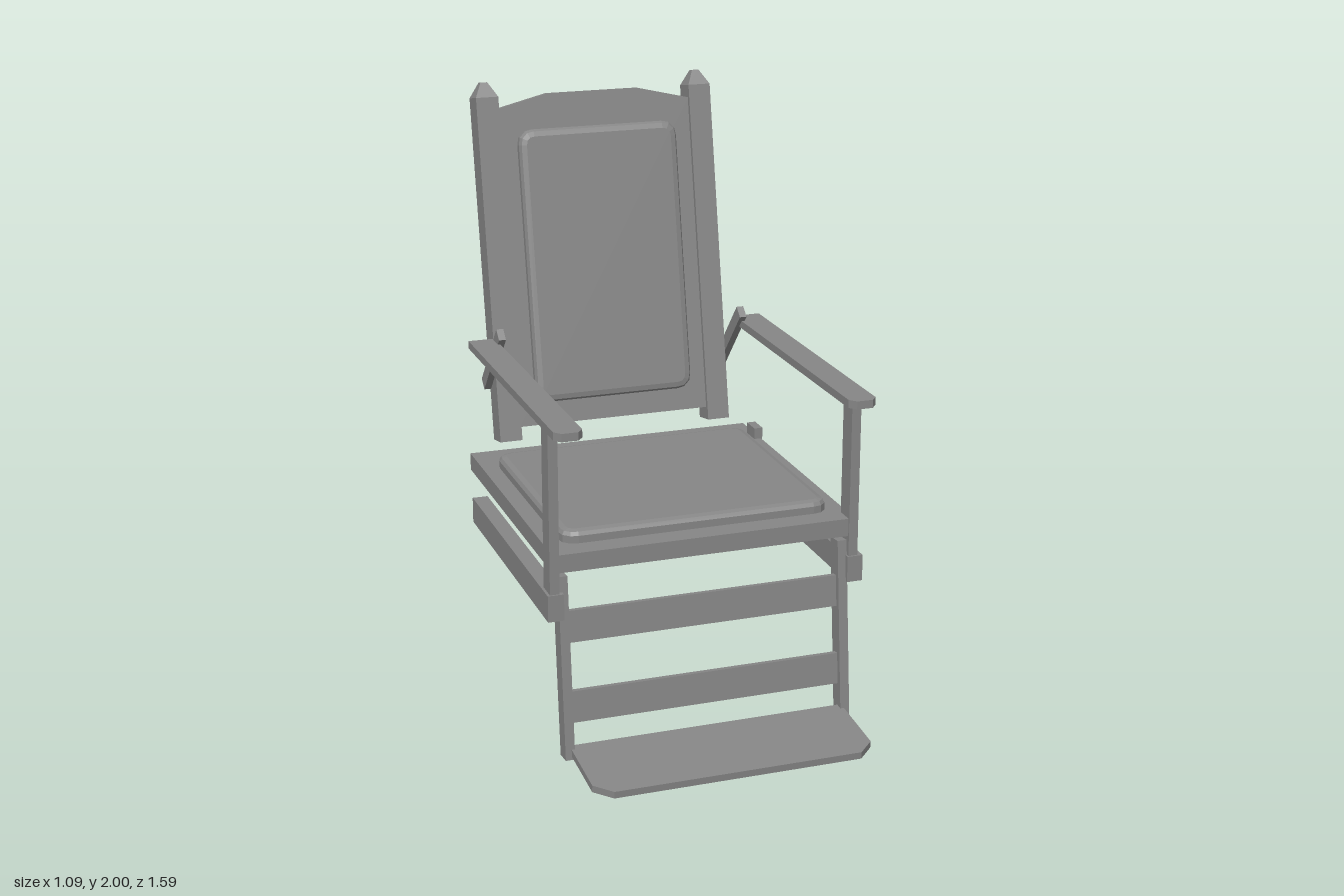
import * as THREE from 'three';

const material = new THREE.MeshStandardMaterial({ color: 0x868686, flatShading: true });

function add(parent, name, geometry) {
  const mesh = new THREE.Mesh(geometry, material);
  mesh.name = name;
  parent.add(mesh);
  return mesh;
}

// Box given by its ranges along x, y and z
function box(parent, name, [x0, x1], [y0, y1], [z0, z1]) {
  const mesh = add(parent, name, new THREE.BoxGeometry(x1 - x0, y1 - y0, z1 - z0));
  mesh.position.set((x0 + x1) / 2, (y0 + y1) / 2, (z0 + z1) / 2);
}

// Polygon board extruded along z
function plate(points, depth) {
  const shape = new THREE.Shape(points.map(([x, y]) => new THREE.Vector2(x, y)));
  return new THREE.ExtrudeGeometry(shape, { depth, bevelEnabled: false });
}

// Rounded pad with a softened face, lying in the xy plane and rising along z
function pad(w, h, height, r) {
  const bevelSize = 0.025, bevelThickness = 0.017;
  const a = w / 2 - bevelSize, b = h / 2 - bevelSize;
  const shape = new THREE.Shape();
  shape.moveTo(-a + r, -b);
  shape.lineTo(a - r, -b).quadraticCurveTo(a, -b, a, -b + r);
  shape.lineTo(a, b - r).quadraticCurveTo(a, b, a - r, b);
  shape.lineTo(-a + r, b).quadraticCurveTo(-a, b, -a, b - r);
  shape.lineTo(-a, -b + r).quadraticCurveTo(-a, -b, -a + r, -b);
  return new THREE.ExtrudeGeometry(shape, {
    depth: height - bevelThickness, bevelThickness, bevelSize, bevelSegments: 2, curveSegments: 3,
  });
}

// Square post with a blunt pyramid tip, standing on y = 0
function pointedPost(parent, x, w, d, height, tip) {
  box(parent, 'backPost', [x - w / 2, x + w / 2], [0, height], [-d / 2, d / 2]);
  const cap = new THREE.CylinderGeometry(0.3 * Math.SQRT1_2, Math.SQRT1_2, tip, 4);
  cap.rotateY(Math.PI / 4).scale(w, 1, d);
  add(parent, 'backPostTip', cap).position.set(x, height + tip / 2, 0);
}

export function createModel() {
  const chair = new THREE.Group();
  chair.name = 'chair';

  // Seat
  box(chair, 'seatBoard', [-0.521, 0.517], [0.649, 0.71], [-0.565, 0.47]);
  const seatPad = add(chair, 'seatCushion', pad(0.92, 0.82, 0.042, 0.03).rotateX(-Math.PI / 2));
  seatPad.position.set(-0.003, 0.71, -0.02);

  // Reclined back: posts, panel and cushion
  const back = new THREE.Group();
  back.name = 'back';
  back.position.set(-0.003, 0.762, -0.519);
  back.rotation.x = -0.19;
  chair.add(back);
  for (const side of [-1, 1]) pointedPost(back, side * 0.39, 0.08, 0.092, 1.207, 0.052);
  add(back, 'backPanel', plate([
    [-0.352, 0.045], [0.352, 0.045], [0.352, 1.163], [0.158, 1.209], [-0.158, 1.209], [-0.352, 1.163],
  ], 0.066)).position.z = -0.036;
  add(back, 'backCushion', pad(0.58, 0.96, 0.037, 0.03)).position.set(0, 0.607, 0.03);

  // Arms, their front posts and the slanted braces
  for (const side of [-1, 1]) {
    const arm = add(chair, 'armrest', plate([
      [-0.047, -0.465], [0.047, -0.465], [0.047, 0.565], [0.027, 0.59], [-0.027, 0.59], [-0.047, 0.565],
    ], 0.027).rotateX(Math.PI / 2));
    arm.position.set(-0.004 + side * 0.491, 1.157, 0);

    const px = -0.004 + side * 0.514;
    box(chair, 'armPost', [px - 0.016, px + 0.016], [0.56, 1.13], [0.405, 0.476]);

    const brace = add(chair, 'armBrace', new THREE.BoxGeometry(0.025, 0.325, 0.045));
    brace.position.set(-0.003 + side * 0.442, 1.071, -0.498);
    brace.rotation.x = Math.atan2(0.217, 0.242);

    // Lower side rail
    const rx = side * 0.516;
    box(chair, 'lowerRail', [rx - 0.027, rx + 0.027], [0.49, 0.58], [-0.462, 0.482]);
  }
  box(chair, 'rearSpacer', [0.491, 0.522], [0.57, 0.75], [-0.455, -0.382]);

  // Leg rest: slanted legs and cross slats
  const legRest = new THREE.Group();
  legRest.name = 'legRest';
  legRest.position.set(-0.004, 0.011, 0.49);
  legRest.rotation.x = -0.1;
  chair.add(legRest);
  for (const side of [-1, 1]) {
    box(legRest, 'leg', [side * 0.482 - 0.016, side * 0.482 + 0.016], [0, 0.62], [-0.03, 0.03]);
  }
  for (const y of [0.118, 0.39]) box(legRest, 'legSlat', [-0.47, 0.47], [y, y + 0.107], [-0.01, 0.01]);

  // Footboard with clipped front corners
  const foot = add(chair, 'footboard', plate([
    [-0.478, 0], [0.478, 0], [0.478, 0.25], [0.422, 0.305], [-0.422, 0.305], [-0.478, 0.25],
  ], 0.024).rotateX(Math.PI / 2));
  foot.position.set(-0.003, 0.051, 0.49);
  foot.rotation.x = 0.085;

  return chair;
}
